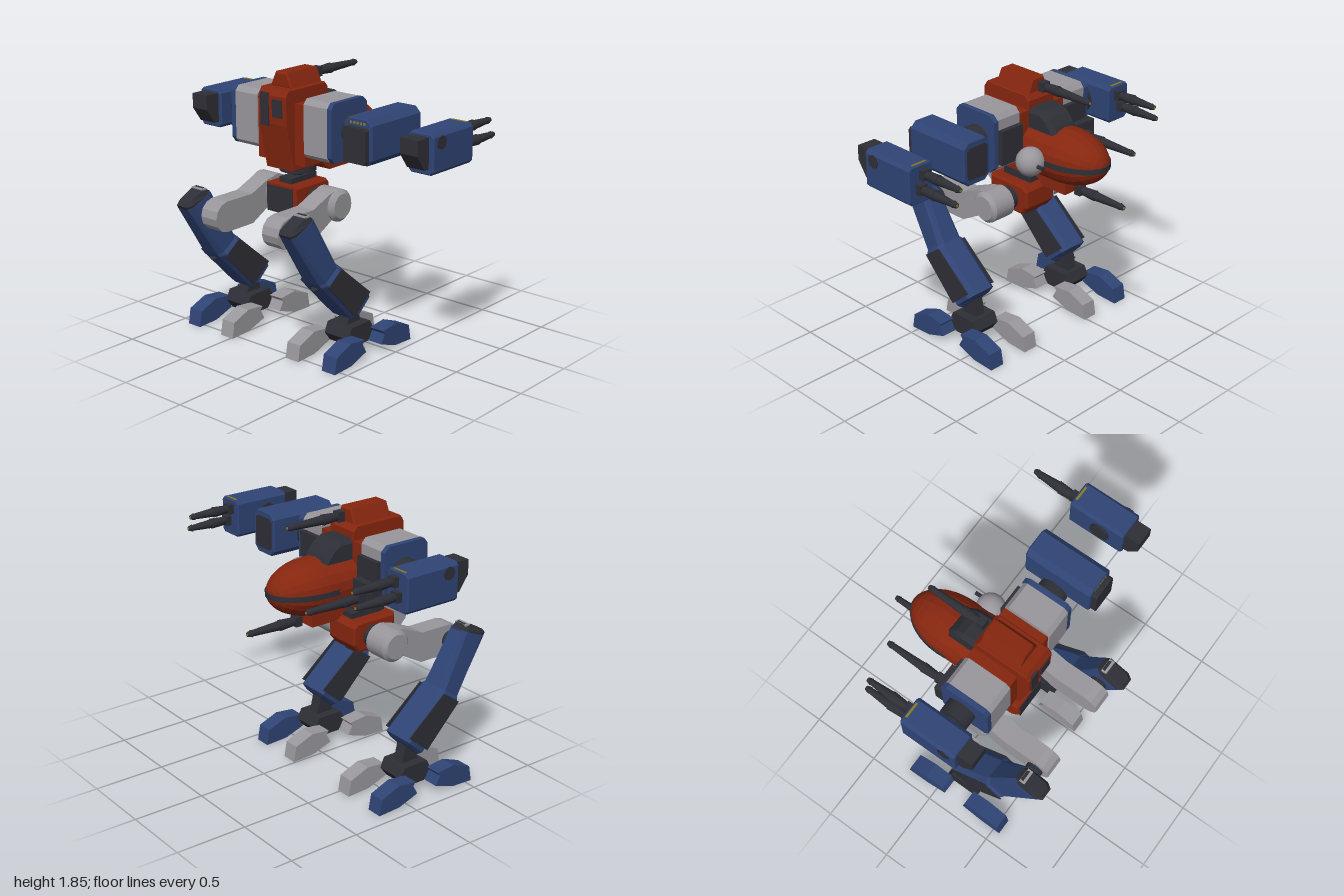
import * as THREE from 'three';

const mat = (name, color) => Object.assign(new THREE.MeshStandardMaterial({ color }), { name });

export function createModel() {
  const red = mat('rust red', 0x86260f), blue = mat('navy blue', 0x2f4475);
  const grey = mat('light grey', 0x99979c), dark = mat('dark steel', 0x2e2e36);
  const yellow = mat('dull yellow', 0x8a7a20);
  const root = new THREE.Group();
  root.name = 'walker';
  const C = -0.238; // centre line of the body

  const add = (name, geo, m, x = 0, y = 0, z = 0, parent = root) => {
    const mesh = new THREE.Mesh(geo, m);
    mesh.name = name;
    mesh.position.set(x, y, z);
    parent.add(mesh);
    return mesh;
  };
  const group = (name) => {
    const g = new THREE.Group();
    g.name = name;
    root.add(g);
    return g;
  };
  const box = (w, h, d) => new THREE.BoxGeometry(w, h, d);
  const flat = (g) => {
    const f = g.index ? g.toNonIndexed() : g;
    f.computeVertexNormals();
    return f;
  };
  const extrude = (pts, depth, bevel) => {
    const g = new THREE.ExtrudeGeometry(new THREE.Shape(pts.map(([a, b]) => new THREE.Vector2(a, b))), {
      depth: depth - 2 * bevel, bevelEnabled: bevel > 0, bevelSize: bevel, bevelOffset: -bevel,
      bevelThickness: bevel, bevelSegments: 1 });
    return g.translate(0, 0, bevel - depth / 2);
  };
  // side outline of (z, y) points, given width across x
  const side = (pts, width, bevel = 0) => extrude(pts.map(([z, y]) => [-z, y]), width, bevel).rotateY(Math.PI / 2);
  // box whose four long edges are chamfered, long axis z
  const chamferBox = (w, h, d, c, bevel = 0) => {
    const a = w / 2, b = h / 2;
    return extrude([[a - c, -b], [a, c - b], [a, b - c], [a - c, b], [c - a, b], [-a, b - c], [-a, c - b], [c - a, -b]], d, bevel);
  };
  const cylX = (r, len, r2 = r, n = 20) => new THREE.CylinderGeometry(r2, r, len, n).rotateZ(-Math.PI / 2);
  // loft of chamfered sections: [front (z,y), back (z,y), half width]
  const loft = (sections, c = 0.35) => {
    const oct = [[1, c - 1], [1, 1 - c], [1 - c, 1], [c - 1, 1], [-1, 1 - c], [-1, c - 1], [c - 1, -1], [1 - c, -1]];
    const rings = sections.map(([A, B, w]) => oct.map(([u, v]) => [u * w,
      (A[1] + B[1]) / 2 + v * (B[1] - A[1]) / 2, (A[0] + B[0]) / 2 + v * (B[0] - A[0]) / 2]));
    const p = [];
    for (let i = 0; i + 1 < rings.length; i++) for (let j = 0; j < 8; j++) {
      const k = (j + 1) % 8, R = rings[i], S = rings[i + 1];
      p.push(...R[j], ...R[k], ...S[j], ...R[k], ...S[k], ...S[j]);
    }
    const last = rings[rings.length - 1];
    for (let j = 1; j < 7; j++) {
      p.push(...rings[0][0], ...rings[0][j + 1], ...rings[0][j]);
      p.push(...last[0], ...last[j], ...last[j + 1]);
    }
    const g = new THREE.BufferGeometry();
    g.setAttribute('position', new THREE.Float32BufferAttribute(p, 3));
    g.computeVertexNormals();
    return g;
  };
  // tapered gun pointing to -z; z is the rear end
  const gun = (name, x, y, z, len) => {
    const g = group(name);
    g.position.set(x, y, z);
    const tube = (n, r0, r1, a, b, m = dark) =>
      add(n, new THREE.CylinderGeometry(r1, r0, b - a, 12).rotateX(-Math.PI / 2), m, 0, 0, -(a + b) / 2, g);
    add('breech', box(0.06, 0.066, 0.05), dark, 0, 0, -0.025, g);
    tube('sleeve', 0.028, 0.036, 0.05, 0.16);
    tube('barrel', 0.031, 0.02, 0.16, len - 0.03);
    tube('muzzle', 0.024, 0.015, len - 0.03, len);
    tube('bore', 0.009, 0.009, len, len + 0.003, yellow);
  };

  // pelvis and waist
  add('pelvis', side([[0.32, 0.94], [0.27, 0.88], [0.02, 0.88], [-0.03, 0.94], [-0.03, 1.06], [0, 1.095], [0.32, 1.095]], 0.27, 0.015), red, C);
  add('pelvisRearPanel', box(0.23, 0.18, 0.008), dark, C, 0.99, 0.32);
  add('pelvisFoot', box(0.115, 0.05, 0.18), dark, C, 0.87, 0.145);
  add('waistBase', box(0.11, 0.04, 0.25), dark, C, 1.112, 0.142);
  add('waistCone', new THREE.CylinderGeometry(0.06, 0.03, 0.05, 16), dark, C, 1.147, 0.142);
  add('waistRing', new THREE.CylinderGeometry(0.125, 0.125, 0.04, 24), dark, C, 1.185, 0.142);

  // torso
  add('torsoCore', side([[0.32, 1.205], [-0.02, 1.205], [-0.03, 1.72], [0, 1.755], [0.36, 1.755], [0.39, 1.71], [0.385, 1.52]], 0.24, 0.006), red, C);
  add('torsoSides', side([[0.3, 1.25], [-0.03, 1.25], [-0.03, 1.66], [0.3, 1.66]], 0.41), red, C);
  add('roofRidge', extrude([[-0.095, 1.75], [0.095, 1.75], [0.05, 1.85], [-0.05, 1.85]], 0.3, 0.01), red, C, 0, 0.15);
  add('rearVentTall', box(0.07, 0.22, 0.02), dark, -0.3, 1.615, 0.385);
  add('rearVentShort', box(0.085, 0.12, 0.02), dark, -0.19, 1.63, 0.385);

  // nose, its band, the canopy and the chin
  const nosePts = [new THREE.Vector2(0, 0), new THREE.Vector2(1, 0)];
  for (let i = 0; i <= 8; i++) {
    const a = i * Math.PI / 16;
    nosePts.push(new THREE.Vector2(Math.max(Math.cos(a), 0), 0.27 + 0.328 * Math.sin(a)));
  }
  const nose = flat(new THREE.LatheGeometry(nosePts, 20).rotateX(-Math.PI / 2).scale(0.205, 0.186, 1));
  add('nose', nose, red, C, 1.385, 0);
  add('noseBand', new THREE.CylinderGeometry(1, 1, 0.036, 40).scale(0.209, 1, 0.333), dark, C, 1.382, -0.27);
  add('canopy', side([[0, 1.5], [-0.27, 1.52], [-0.235, 1.585], [-0.19, 1.64], [-0.13, 1.675], [0, 1.675]], 0.23, 0.03), dark, C);
  add('chin', side([[0, 1.22], [-0.01, 1.2], [-0.11, 1.12], [-0.31, 1.12], [-0.31, 1.22]], 0.12), red, C);
  gun('roofGun', C, 1.8, -0.025, 0.43);
  gun('chinGun', C, 1.17, -0.365, 0.405);

  // shoulders and arm joints
  for (const s of [-1, 1]) {
    const x = (o) => C + s * o;
    add('shoulder', side([[0.28, 1.31], [0, 1.31], [-0.03, 1.34], [-0.03, 1.67], [0, 1.705], [0.28, 1.705], [0.31, 1.67], [0.31, 1.34]], 0.2), grey, x(0.305));
    add('shoulderPlate', side([[0.28, 1.31], [0, 1.31], [-0.04, 1.35], [-0.04, 1.67], [0, 1.706], [0.28, 1.706], [0.31, 1.67], [0.31, 1.35]], 0.037), blue, x(0.424));
    add('shoulderFrontPanel', box(0.19, 0.24, 0.04), dark, x(0.3), 1.48, -0.045);
    add('armJoint', cylX(0.1, 0.1), dark, x(0.49), 1.515, 0.115);
  }

  // ball turret on the left, side gun on the right
  add('ballTurret', new THREE.SphereGeometry(0.098, 20, 14), grey, 0.005, 1.38, -0.17);
  add('turretBarrel', new THREE.CylinderGeometry(0.013, 0.013, 0.08, 10).rotateX(Math.PI / 2), dark, 0.03, 1.38, -0.27);
  add('sideGunMount', box(0.19, 0.17, 0.1), dark, -0.565, 1.38, -0.07);
  gun('sideGun', -0.57, 1.37, -0.12, 0.44);

  // inner left arm pod
  add('innerPod', chamferBox(0.225, 0.3, 0.5, 0.04, 0.008), blue, 0.457, 1.52, 0.105);
  add('innerPodEnd', chamferBox(0.18, 0.23, 0.04, 0.015), dark, 0.46, 1.5, 0.372);
  add('innerPodFront', chamferBox(0.17, 0.22, 0.008, 0.02), dark, 0.457, 1.52, -0.147);
  for (let i = 0; i < 5; i++) add('innerPodMark', box(0.018, 0.016, 0.006), yellow, 0.404 + i * 0.027, 1.638, 0.354);

  // outer arm pods with twin guns
  for (const s of [-1, 1]) {
    add('outerPod', chamferBox(0.195, 0.26, 0.41, 0.022, 0.008), blue, s * 0.9, 1.51, 0.085);
    add('outerPodRear', side([[0.28, 1.42], [0.33, 1.42], [0.4, 1.52], [0.4, 1.62], [0.28, 1.62]], 0.135), dark, s * 0.895);
    add('outerPodSocket', cylX(0.07, 0.03), dark, s * 0.798, 1.52, 0.12);
    add('outerPodHatch', cylX(0.045, 0.008, 0.045, 8), dark, s * 0.999, 1.58, 0.21);
    add('outerPodMark', box(0.11, 0.004, 0.015), yellow, s * 0.9, 1.641, -0.1);
    gun('outerPodGun', s * 0.885, 1.575, -0.11, 0.345);
    gun('outerPodGun', s * 0.915, 1.485, -0.11, 0.345);
  }

  // legs
  const thigh = [[0.13, 1.09], [0.22, 1.07], [0.375, 1.005], [0.61, 1.005]];
  for (let i = 1; i <= 6; i++) {
    const a = Math.PI / 2 - i * Math.PI / 6;
    thigh.push([0.61 + 0.105 * Math.cos(a), 0.9 + 0.105 * Math.sin(a)]);
  }
  thigh.push([0.37, 0.797], [0.2, 0.89], [0.13, 0.88]);
  const toe = [[0.27, 0.125], [0.235, 0.06], [0.385, 0.008], [0.55, 0], [0.53, 0.11], [0.39, 0.165], [0.25, 0.15]];
  for (const s of [-1, 1]) {
    const x = (o) => C + s * o, L = x(0.46);
    add('hipAxle', cylX(0.08, 0.1), dark, x(0.165), 0.98, 0.13);
    add('thigh', side(thigh, 0.14), grey, x(0.275));
    add('hipHub', cylX(0.11, 0.16), grey, x(0.28), 0.98, 0.13);
    add('hipCap', s > 0 ? cylX(0.11, 0.025, 0.085) : cylX(0.085, 0.025, 0.11), grey, x(0.3725), 0.98, 0.13);
    add('kneePin', cylX(0.06, 0.1), dark, x(0.37), 0.9, 0.61);

    // shin, its knee cap and side panels
    add('shin', loft([[[0.565, 1.03], [0.77, 0.94], 0.072], [[0.37, 0.68], [0.53, 0.57], 0.1],
      [[0.355, 0.665], [0.515, 0.55], 0.118], [[0.055, 0.405], [0.225, 0.255], 0.118], [[0.075, 0.365], [0.2, 0.24], 0.09]]), blue, L);
    add('kneeCap', loft([[[0.61, 1.062], [0.765, 0.985], 0.05], [[0.56, 1.025], [0.783, 0.96], 0.068], [[0.562, 1.02], [0.77, 0.94], 0.068]]), dark, L);
    add('kneeTrim', box(0.1, 0.012, 0.04), grey, L, 1.05, 0.62);
    for (const t of [-1, 1]) {
      add('shinPanel', side([[0.5, 0.56], [0.235, 0.285], [0.082, 0.415], [0.37, 0.655]], 0.008), dark, L + t * 0.119);
    }
    add('shinBolt', new THREE.CylinderGeometry(0.028, 0.028, 0.012, 10).rotateX(Math.PI / 4), dark, L, 0.53, 0.495);

    // ankle, foot and four toes
    add('ankle', side([[0.225, 0.195], [0.09, 0.195], [0.12, 0.33], [0.17, 0.33]], 0.085), dark, L);
    add('foot', side([[0.25, 0.2], [0.285, 0.13], [0.23, 0.06], [0.08, 0.06], [0.025, 0.13], [0.06, 0.2]], 0.21), dark, L);
    for (const f of [-1, 1]) {
      const pts = toe.map(([z, y]) => [0.155 + f * (z - 0.155), y]);
      add('outerToe', side(pts, 0.112), blue, x(0.62));
      add('innerToe', side(pts, 0.112), grey, x(0.302));
    }
  }
  return root;
}
